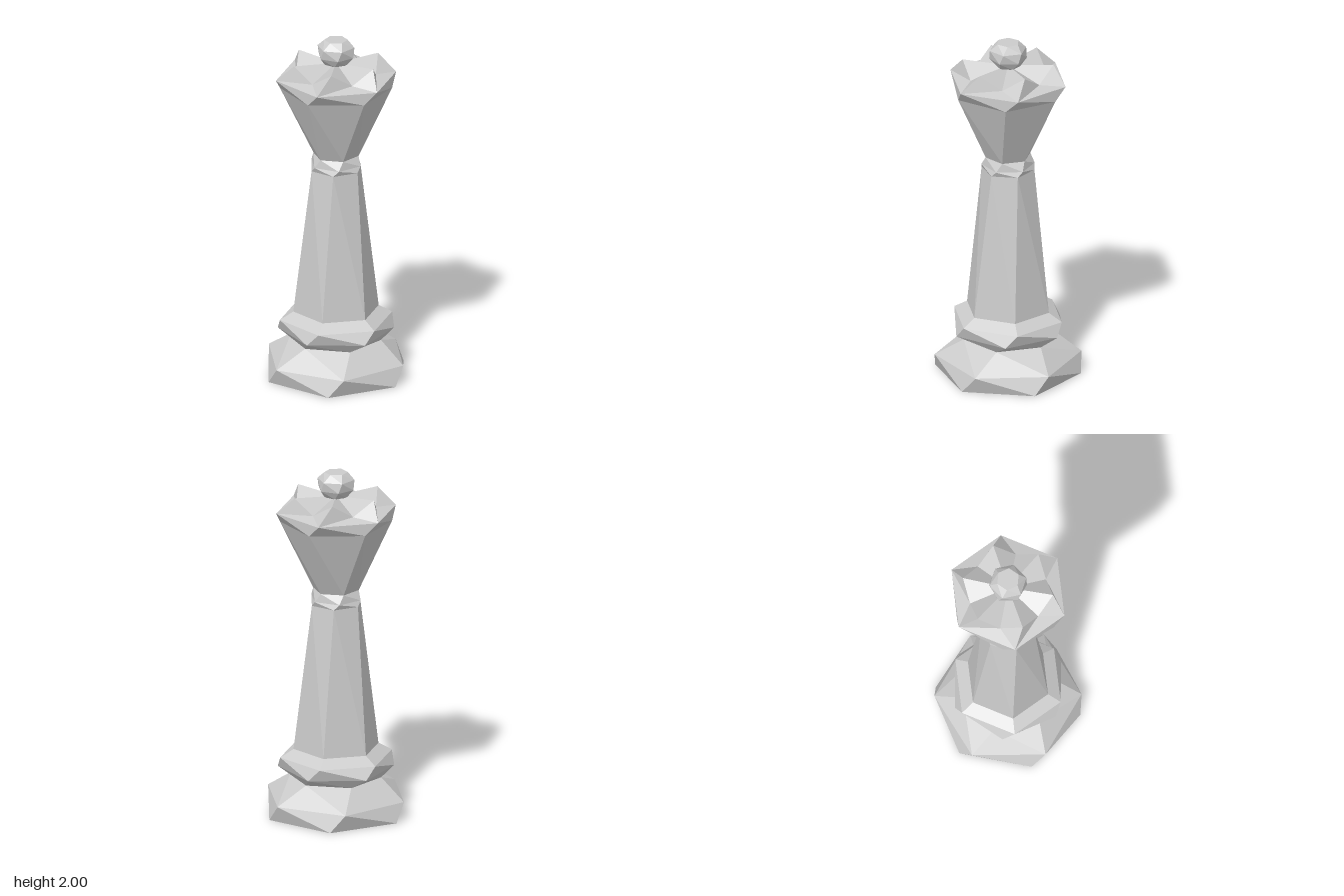
import * as THREE from 'three';

const SIDES = 6;
const material = new THREE.MeshStandardMaterial({ color: 0xcccccc, flatShading: true });

// Six points at height y, radius r, starting at an angle in degrees
function ring(y, r, deg) {
  return Array.from({ length: SIDES }, (_, i) => {
    const a = THREE.MathUtils.degToRad(deg + 60 * i);
    return new THREE.Vector3(r * Math.cos(a), y, r * Math.sin(a));
  });
}

function facetMesh(name, points) {
  const geometry = new THREE.BufferGeometry().setFromPoints(points);
  geometry.computeVertexNormals();
  const mesh = new THREE.Mesh(geometry, material);
  mesh.name = name;
  return mesh;
}

// Joins twisted hexagonal rings, listed bottom to top, with triangles
function twistedLoft(name, sections, { capBottom = false, capTop = false } = {}) {
  const rings = sections.map(s => ring(...s));
  const pts = [];
  const last = rings.length - 1;
  for (let i = 0; i < SIDES; i++) {
    const n = (i + 1) % SIDES;
    for (let k = 0; k < last; k++) {
      const lo = rings[k], up = rings[k + 1];
      pts.push(lo[i], up[i], up[n], lo[i], up[n], lo[n]);
    }
    if (capBottom) pts.push(new THREE.Vector3(0, sections[0][0], 0), rings[0][i], rings[0][n]);
    if (capTop) pts.push(new THREE.Vector3(0, sections[last][0], 0), rings[last][n], rings[last][i]);
  }
  return facetMesh(name, pts);
}

// Star-shaped crown top: outer tips, raised peaks and valleys around the centre
function crownTop() {
  const tips = ring(1.78, 0.345, -18);
  const peaks = ring(1.88, 0.258, -30);
  const valleys = ring(1.8, 0.225, 0);
  const centre = new THREE.Vector3(0, 1.86, 0);
  const pts = [];
  for (let i = 0; i < SIDES; i++) {
    const n = (i + 1) % SIDES, p = (i + SIDES - 1) % SIDES;
    pts.push(centre, valleys[i], peaks[i], centre, peaks[i], valleys[p]);
    pts.push(tips[i], peaks[i], valleys[i], tips[i], valleys[p], peaks[i]);
    pts.push(tips[i], valleys[i], tips[n]);
  }
  return facetMesh('crownTop', pts);
}

export function createModel() {
  const group = new THREE.Group();
  group.name = 'chessQueen';
  group.add(
    // Wide foot and the smaller moulding above it
    twistedLoft('foot', [[0, 0.414, 30], [0.1, 0.413, 18], [0.21, 0.258, 6]], { capBottom: true }),
    twistedLoft('baseMoulding', [[0.21, 0.258, 6], [0.265, 0.327, -6], [0.335, 0.322, -18], [0.38, 0.245, -18]]),
    // Tapered column with its neck ring
    twistedLoft('shaft', [[0.38, 0.245, -18], [1.23, 0.15, -30]]),
    twistedLoft('neckRing', [[1.23, 0.15, -30], [1.26, 0.15, -42], [1.31, 0.13, -54]]),
    // Flared head, crown and finial
    twistedLoft('head', [[1.31, 0.13, -54], [1.71, 0.315, -66], [1.78, 0.345, -78]]),
    crownTop(),
    twistedLoft('finialBall', [[1.86, 0.07, 30], [1.905, 0.106, 18], [1.96, 0.106, 6], [2, 0.066, -6]],
      { capBottom: true, capTop: true })
  );
  return group;
}
